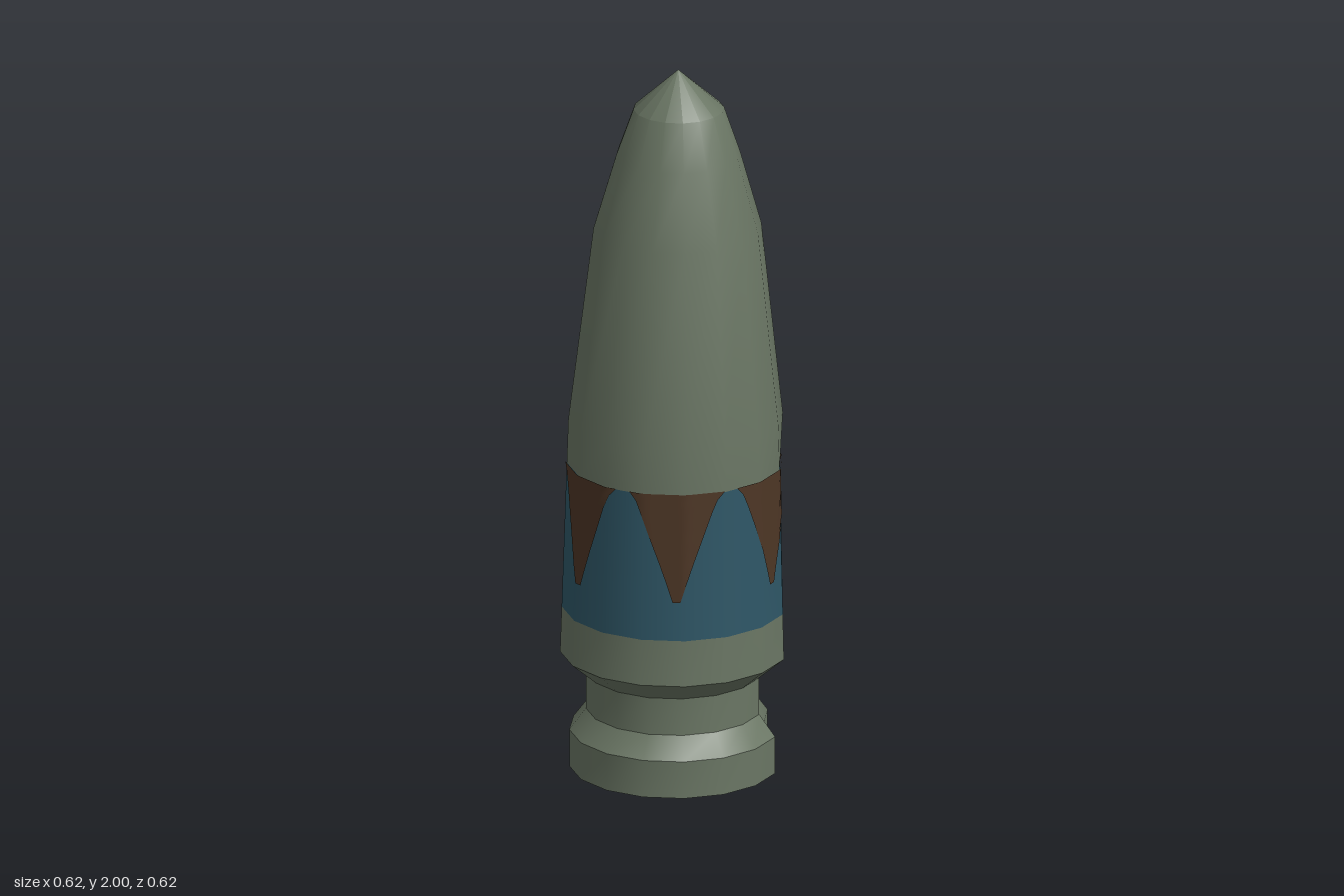
import * as THREE from 'three';
import { toCreasedNormals } from 'three/addons/utils/BufferGeometryUtils.js';

const SIDES = 16;
const DENT = 5; // the one pushed-in corner of the lower rings

const mat = (name, color) => {
  const m = new THREE.MeshStandardMaterial({ color });
  m.name = name;
  return m;
};

// Rings: [height, radius, sideways shift of the centre, dent factor]
const BODY = [
  [0.33, 0.31, 0, 0.81],
  [1.0, 0.291, 0.005, 1],
  [1.55, 0.228, 0.013, 1],
  [1.76, 0.168, 0.016, 1],
  [1.89, 0.123, 0.018, 1],
  [2.0, 0, 0.016, 1],
];
const FOOT = [
  [0, 0.285, 0, 0.85],
  [0.105, 0.285, 0, 0.85],
  [0.165, 0.24, 0, 0.85],
  [0.27, 0.24, 0, 0.85],
  [0.33, 0.31, 0, 0.81],
];

// Ring values at any height of the body
function ringAt(y) {
  let i = 0;
  while (i < BODY.length - 2 && BODY[i + 1][0] < y) i++;
  const t = (y - BODY[i][0]) / (BODY[i + 1][0] - BODY[i][0]);
  return BODY[i].map((v, k) => v + (BODY[i + 1][k] - v) * t);
}

function corner([y, r, shift, dent], j, grow = 0) {
  j = ((j % SIDES) + SIDES) % SIDES;
  const a = (j / SIDES) * Math.PI * 2;
  const rad = r * (j === DENT ? dent : 1) + grow;
  return new THREE.Vector3(Math.sin(a) * rad + shift, y, Math.cos(a) * rad + shift);
}

// Point on the faceted body at an angle in degrees
function surfacePoint(y, deg, grow) {
  const s = (deg / 360) * SIDES;
  const j = Math.floor(s);
  const ring = ringAt(y);
  return corner(ring, j, grow).lerp(corner(ring, j + 1, grow), s - j);
}

// Skin over a stack of rings; slots gives a material index per band
function loft(rings, slots, capped) {
  const pos = [], idx = [];
  const geo = new THREE.BufferGeometry();
  rings.forEach((r) => {
    for (let j = 0; j < SIDES; j++) pos.push(...corner(r, j).toArray());
  });
  for (let i = 0; i < rings.length - 1; i++) {
    const start = idx.length;
    for (let j = 0; j < SIDES; j++) {
      const a = i * SIDES + j, b = i * SIDES + ((j + 1) % SIDES);
      idx.push(a, b, b + SIDES);
      if (rings[i + 1][1] > 0) idx.push(a, b + SIDES, a + SIDES);
    }
    if (slots) geo.addGroup(start, idx.length - start, slots[i]);
  }
  if (capped) {
    const c = pos.length / 3;
    pos.push(0, rings[0][0], 0);
    for (let j = 0; j < SIDES; j++) idx.push(c, (j + 1) % SIDES, j);
  }
  geo.setAttribute('position', new THREE.Float32BufferAttribute(pos, 3));
  geo.setIndex(idx);
  return toCreasedNormals(geo, 0.57);
}

// Painted tooth: [height, half-width in degrees], wide at the top
const TOOTH = [[0.57, 2], [0.62, 5], [0.68, 9], [0.75, 14], [0.82, 19], [0.855, 22], [0.878, 26]];
function toothGeometry(centre) {
  const cols = 16, pos = [], idx = [];
  TOOTH.forEach(([y, half], i) => {
    for (let c = 0; c <= cols; c++) {
      pos.push(...surfacePoint(y, centre + half * ((2 * c) / cols - 1), 0.004).toArray());
      if (i && c < cols) {
        const b = i * (cols + 1) + c, a = b - cols - 1;
        idx.push(a, a + 1, b + 1, a, b + 1, b);
      }
    }
  });
  const geo = new THREE.BufferGeometry();
  geo.setAttribute('position', new THREE.Float32BufferAttribute(pos, 3));
  geo.setIndex(idx);
  geo.computeVertexNormals();
  return geo;
}

export function createModel() {
  const green = mat('greyGreen', 0x6a7664);
  const blue = mat('deepBlue', 0x2f5767);
  const brown = mat('darkBrown', 0x4d3625);
  brown.side = THREE.DoubleSide;

  const model = new THREE.Group();
  model.name = 'roundedTipShell';
  const add = (name, geo, material) => {
    const mesh = new THREE.Mesh(geo, material);
    mesh.name = name;
    model.add(mesh);
  };

  // Grooved foot with flat underside
  add('groovedFoot', loft(FOOT, null, true), green);

  // Tapering body with a blue band around its lower half
  const rings = [BODY[0], ringAt(0.46), ringAt(0.875), ...BODY.slice(1)];
  add('taperedBody', loft(rings, [0, 1, 0, 0, 0, 0, 0], false), [green, blue]);

  // Six brown teeth hanging from the top of the band
  for (let i = 0; i < 6; i++) add('brownTooth' + (i + 1), toothGeometry(18 + i * 60), brown);

  return model;
}
